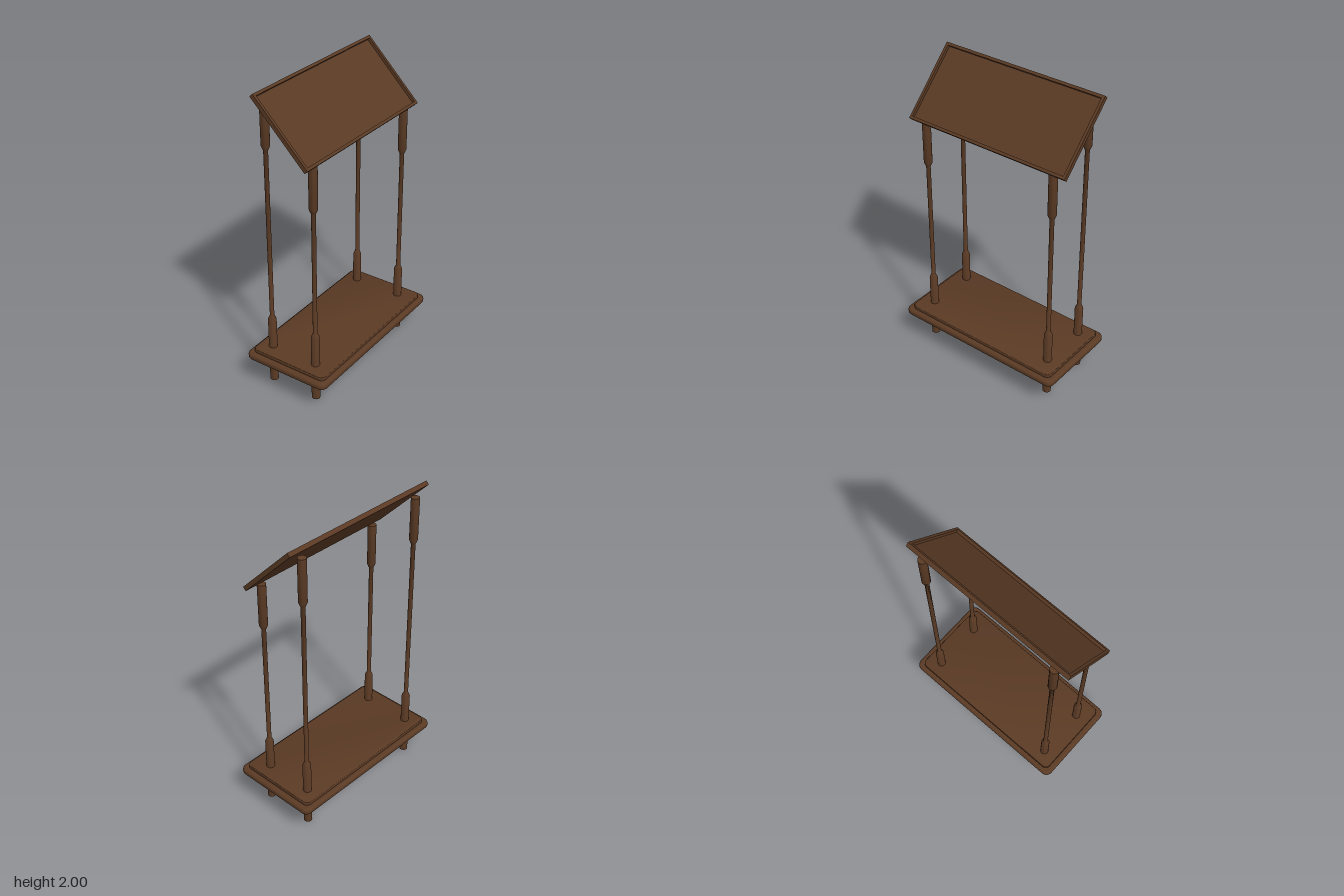
import * as THREE from 'three';
import { toCreasedNormals } from 'three/addons/utils/BufferGeometryUtils.js';

const wood = new THREE.MeshStandardMaterial({ color: 0x5a3a24 });
wood.name = 'dark wood';

function addMesh(parent, name, geometry) {
  const mesh = new THREE.Mesh(geometry, wood);
  mesh.name = name;
  parent.add(mesh);
  return mesh;
}

// Rectangle with rounded corners, centred on the origin
function roundedRect(w, d, r) {
  const x = w / 2, y = d / 2;
  const s = new THREE.Shape();
  s.absarc(x - r, y - r, r, 0, Math.PI / 2);
  s.absarc(-x + r, y - r, r, Math.PI / 2, Math.PI);
  s.absarc(-x + r, -y + r, r, Math.PI, Math.PI * 1.5);
  s.absarc(x - r, -y + r, r, Math.PI * 1.5, Math.PI * 2);
  s.closePath();
  return s;
}

function rect(Type, w, d) {
  const x = w / 2, y = d / 2;
  return new Type([[-x, -y], [x, -y], [x, y], [-x, y]].map(p => new THREE.Vector2(...p)));
}

// Flat slab with softened edges, lying between y0 and y1
function slab(w, d, r, y0, y1, bevel) {
  const g = new THREE.ExtrudeGeometry(roundedRect(w, d, r), {
    depth: y1 - y0 - 2 * bevel, curveSegments: 6,
    bevelThickness: bevel, bevelSize: bevel, bevelOffset: -bevel, bevelSegments: 4,
  });
  g.rotateX(-Math.PI / 2);
  g.translate(0, y0 + bevel, 0);
  return toCreasedNormals(g, 0.6);
}

// Turned post: thick foot, slim shaft, thick head
function post(top) {
  const R = 0.027, r = 0.014, head = top - 0.28;
  const profile = [
    [0, 0], [R, 0], [R, 0.46], [r + 0.004, 0.482], [r, 0.49],
    [r, head - 0.03], [r + 0.004, head - 0.022], [R, head], [R, top], [0, top],
  ].map(p => new THREE.Vector2(...p));
  return toCreasedNormals(new THREE.LatheGeometry(profile, 20), 0.6);
}

export function createModel() {
  const model = new THREE.Group();
  model.name = 'roofedStand';

  // Two-tier shelf
  addMesh(model, 'shelfBase', slab(0.6, 1.2, 0.045, 0.186, 0.231, 0.016));
  addMesh(model, 'shelfTop', slab(0.54, 1.13, 0.035, 0.225, 0.254, 0.004));

  // Posts: a tall pair and a short pair
  for (const [name, x, top] of [['tallPost', -0.18, 1.93], ['shortPost', 0.15, 1.626]]) {
    for (const z of [-0.47, 0.47]) addMesh(model, name, post(top)).position.set(x, 0, z);
  }

  // Sloping roof: raised rim around a sunken panel
  const roof = new THREE.Group();
  roof.name = 'roof';
  const length = 0.515, width = 1.144, rim = 0.018, thick = 0.028;
  const outline = rect(THREE.Shape, length, width);
  outline.holes.push(rect(THREE.Path, length - 2 * rim, width - 2 * rim));
  const frame = new THREE.ExtrudeGeometry(outline, { depth: thick, bevelEnabled: false });
  frame.rotateX(-Math.PI / 2);
  frame.translate(0, -thick / 2, 0);
  addMesh(roof, 'roofRim', frame);
  addMesh(roof, 'roofPanel', new THREE.BoxGeometry(length - 2 * rim, 0.009, width - 2 * rim))
    .position.y = -thick / 2 + 0.0045;
  roof.position.set(-0.002, 1.807, 0);
  roof.rotation.z = -Math.PI / 4;
  model.add(roof);

  return model;
}
